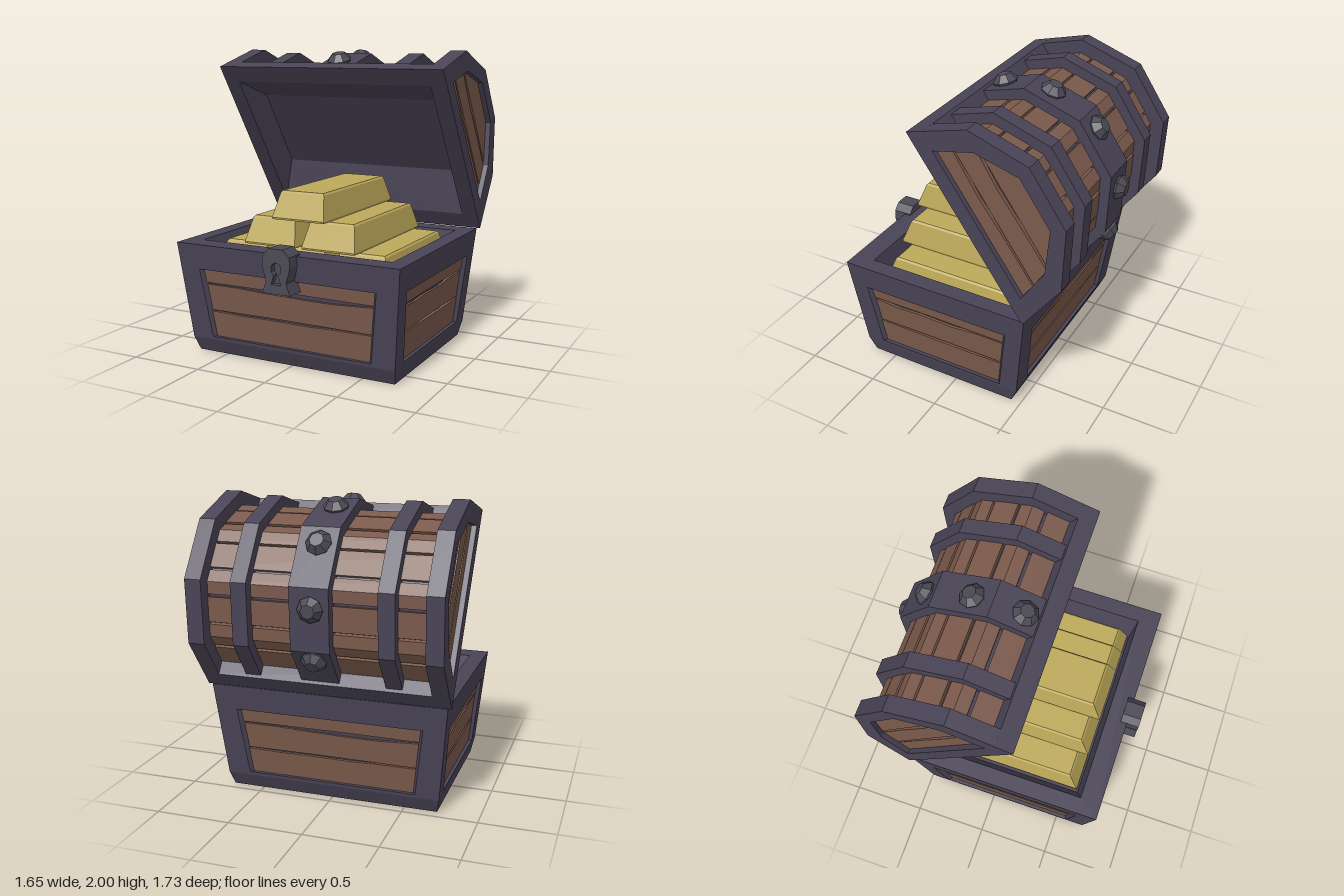
import * as THREE from 'three';

const mat = (color) => new THREE.MeshStandardMaterial({ color, flatShading: true, side: THREE.DoubleSide });
const IRON = mat(0x494456), WOOD = mat(0x7b5a4c), GOLD = mat(0xbda95a), STEEL = mat(0x4b4a55);

function add(parent, name, geometry, material) {
  const mesh = new THREE.Mesh(geometry, material);
  mesh.name = name;
  parent.add(mesh);
  return mesh;
}

// Skin through rectangular rings [x0, x1, z0, z1, y], closed at both ends
function loft(rings) {
  const pos = [];
  const R = rings.map(([x0, x1, z0, z1, y]) => [[x0, y, z1], [x1, y, z1], [x1, y, z0], [x0, y, z0]]);
  const tri = (a, b, c) => pos.push(...a, ...b, ...c);
  for (let r = 0; r + 1 < R.length; r++) for (let i = 0; i < 4; i++) {
    const j = (i + 1) % 4, A = R[r], B = R[r + 1];
    tri(A[i], A[j], B[j]);
    tri(A[i], B[j], B[i]);
  }
  const s = R[0], e = R[R.length - 1];
  tri(s[0], s[3], s[2]); tri(s[0], s[2], s[1]);
  tri(e[0], e[1], e[2]); tri(e[0], e[2], e[3]);
  const g = new THREE.BufferGeometry();
  g.setAttribute('position', new THREE.Float32BufferAttribute(pos, 3));
  g.computeVertexNormals();
  return g;
}

const toV2 = (pts) => pts.map(([x, y]) => new THREE.Vector2(x, y));

// Flat outline with an optional hole, extruded from z0 to z1
function slab(pts, z0, z1, hole) {
  const shape = new THREE.Shape(toV2(pts));
  if (hole) shape.holes.push(new THREE.Path(toV2(hole)));
  return new THREE.ExtrudeGeometry(shape, { depth: z1 - z0, bevelEnabled: false }).translate(0, 0, z0);
}

// ---- chest base: flared walls ----
const CZ = 0.115;
const halfX = (y) => 0.74 + 0.0916 * (y - 0.1);
const halfZ = (y) => 0.59 + 0.122 * (y - 0.1);
const ring = (y, d) => [d - halfX(y), halfX(y) - d, CZ - halfZ(y) + d, CZ + halfZ(y) - d, y];

// Lays a slab, drawn as (share of half width, height), on wall number k
function onWall(g, k) {
  const p = g.attributes.position, [hw, out] = k % 2 ? [halfZ, halfX] : [halfX, halfZ];
  for (let i = 0; i < p.count; i++) {
    const y = p.getY(i), d = p.getZ(i);
    p.setXYZ(i, p.getX(i) * (hw(y) + d), y, out(y) + d);
  }
  g.rotateY(k * Math.PI / 2).translate(0, 0, CZ);
  g.computeVertexNormals();
  return g;
}

function makeBase() {
  const base = new THREE.Group();
  base.name = 'chestBase';
  add(base, 'chestBody', loft([
    [-0.72, 0.72, -0.43, 0.66, 0], ring(0.1, 0), ring(0.1, 0.05), ring(0.75, 0.05), ring(0.75, 0),
    ring(0.757, 0), [-0.69, 0.69, -0.42, 0.64, 0.757], [-0.62, 0.62, -0.4, 0.605, 0.57],
  ]), IRON);
  // Uneven planks sit inside each wall frame
  const rows = [[0.115, 0.297, 0.006], [0.304, 0.482, 0.016], [0.494, 0.6, 0]];
  for (let k = 0; k < 4; k++) {
    const hole = [[-0.785, 0.122], [0.785, 0.122], [0.815, 0.588], [-0.815, 0.588]];
    add(base, 'wallFrame', onWall(slab([[-1, 0.1], [1, 0.1], [1, 0.75], [-1, 0.75]], -0.05, 0, hole), k), IRON);
    rows.forEach(([y0, y1, nick], i) => {
      const s = (k + i) % 2 ? 1 : -1;
      const pts = [[-0.84, y0], [-0.1 * s, y0 + 0.004], [0.84, y0], [0.84, y1], [0.45, y1 - (s > 0 ? nick : 0)],
        [0.2, y1 - nick], [-0.25, y1 - nick * 0.5], [-0.5, y1 - (s < 0 ? nick : 0)], [-0.84, y1]];
      add(base, 'wallPlank', onWall(slab(pts, -0.045, -0.024 - 0.003 * (i % 2)), k), WOOD);
    });
  }
  return base;
}

// ---- lid: drawn as u (hinge to front) and v (away from the opening) ----
const ARCH = [[0, 0], [0.14, 0.403], [0.475, 0.652], [0.892, 0.652], [1.227, 0.403], [1.367, 0]];

// The arch moved inward by d, with both feet kept on the opening plane
function arch(d) {
  const n = ARCH.slice(1).map(([u, v], i) => {
    const du = u - ARCH[i][0], dv = v - ARCH[i][1], l = Math.hypot(du, dv);
    return [dv / l, -du / l];
  });
  return ARCH.map(([u, v], i) => {
    if (i === 0 || i === 5) return [u + d / n[Math.min(i, 4)][0], 0];
    const a = n[i - 1], b = n[i], k = d / (1 + a[0] * b[0] + a[1] * b[1]);
    return [u + k * (a[0] + b[0]), v + k * (a[1] + b[1])];
  });
}

// Point at t on a polyline, one unit of t for each side
function at(line, t) {
  const i = Math.min(Math.floor(t), line.length - 2), f = t - i;
  return [0, 1].map((c) => line[i][c] * (1 - f) + line[i + 1][c] * f);
}

// Piece of the arch between t0 and t1, bending over any corner it crosses
function archStrip(t0, t1, dOut, dIn, x0, x1) {
  const ts = [t0];
  for (let c = Math.ceil(t0 + 1e-6); c < t1; c++) ts.push(c);
  ts.push(t1);
  const outer = arch(dOut), inner = arch(dIn);
  return slab([...ts.map((t) => at(outer, t)), ...ts.reverse().map((t) => at(inner, t))], x0, x1);
}

function makeLid() {
  const lid = new THREE.Group();
  lid.name = 'lid';
  add(lid, 'lidShell', slab([...arch(0.12), [1.1, 0.25], [0.267, 0.25]], -0.72, 0.72), IRON);
  add(lid, 'lidLining', loft([[0.127, 1.24, -0.715, 0.715, 0], [0.385, 1.0, -0.66, 0.66, 0.165]].slice().reverse())
    .translate(0, 0.0, 0), IRON).visible = false;
  lid.remove(lid.children[1]);
  // Shallow tapered recess, open towards the chest
  const lining = loft([[0.127, 1.24, -0.715, 0.715, 0], [0.385, 1.0, -0.66, 0.66, 0.165]]);
  const p = Array.from(lining.attributes.position.array);
  p.splice(8 * 9, 18);
  lining.deleteAttribute('normal');
  lining.setAttribute('position', new THREE.Float32BufferAttribute(p, 3));
  lining.computeVertexNormals();
  add(lid, 'lidLining', lining, IRON);

  // Roof planks
  for (let k = 0; k < 9; k++) {
    const t = 0.25 + k * 0.5;
    add(lid, 'roofPlank', archStrip(t + 0.025, t + 0.475, 0.085 + 0.005 * (k % 2), 0.13, -0.717, 0.717), WOOD);
  }
  // Rails along the hinge and the front edge
  const rail = [[0, 0], [0.038, 0.11], [0.16, 0.11], [0.127, 0]];
  add(lid, 'hingeRail', slab(rail, -0.82, 0.82), IRON);
  add(lid, 'frontRail', slab(rail.map(([u, v]) => [1.367 - u, v]), -0.82, 0.82), IRON);
  // Bands over the roof
  for (const [x0, x1] of [[-0.525, -0.42], [-0.14, 0.115], [0.42, 0.525]])
    add(lid, 'roofBand', archStrip(0.1, 4.9, 0.02, 0.13, x0, x1), IRON);

  // End frames with planked panels
  const M = 0.6835;
  const panel = [[0.1, 0.517], [0.36, 0.41], [0.555, 0.175]];
  const outline = [...panel.map(([v, w]) => [M - w, v]), ...panel.map(([v, w]) => [M + w, v]).reverse()];
  const width = (v) => {
    const [a, b] = v <= 0.36 ? [panel[0], panel[1]] : [panel[1], panel[2]];
    return a[1] + (b[1] - a[1]) * (v - a[0]) / (b[0] - a[0]);
  };
  for (const s of [-1, 1]) {
    const end = (pts, a, b, hole) => slab(pts, Math.min(s * a, s * b), Math.max(s * a, s * b), hole);
    add(lid, 'endFrame', end(ARCH, 0.715, 0.825, outline), IRON);
    add(lid, 'endBacking', end(outline, 0.715, 0.765), IRON);
    for (const [v0, v1, nick] of [[0.1, 0.205, 0.014], [0.217, 0.36, 0.014], [0.376, 0.555, 0]]) {
      const a = width(v0), b = width(v1);
      add(lid, 'endPlank', end([[M - a, v0], [M + a, v0], [M + b, v1], [M + 0.15, v1 - nick],
        [M - 0.1, v1 - nick * 0.3], [M - b, v1]], 0.76, 0.79), WOOD);
    }
  }
  // Faceted studs on the middle band
  const band = arch(0.02);
  [0.82, 1.67, 2.72, 3.65, 4.5].forEach((t, i) => {
    const [u, v] = at(band, t), a = band[i], b = band[i + 1];
    const stud = add(lid, 'stud', new THREE.CylinderGeometry(0.045, 0.085, 0.045, 8), STEEL);
    const foot = add(stud, 'studFoot', new THREE.CylinderGeometry(0.085, 0.07, 0.03, 8), STEEL);
    foot.position.y = -0.0375;
    const tilt = Math.atan2(b[1] - a[1], b[0] - a[0]);
    stud.rotation.z = tilt;
    stud.position.set(u - Math.sin(tilt) * 0.037, v + Math.cos(tilt) * 0.037, 0);
  });

  // Swing the lid open about the hinge
  const c = 0.825, s = Math.sqrt(1 - c * c);
  lid.quaternion.setFromRotationMatrix(new THREE.Matrix4().makeBasis(
    new THREE.Vector3(0, c, s), new THREE.Vector3(0, s, -c), new THREE.Vector3(-1, 0, 0)));
  lid.position.set(0, 0.76, -0.557);
  return lid;
}

// ---- stacked gold bars ----
function makeGold() {
  const gold = new THREE.Group();
  gold.name = 'goldBars';
  const bar = loft([[-0.185, 0.185, -0.505, 0.505, 0], [-0.188, 0.188, -0.508, 0.508, 0.012],
    [-0.157, 0.157, -0.447, 0.447, 0.168], [-0.146, 0.146, -0.436, 0.436, 0.18]]);
  for (let row = 0; row < 3; row++) for (let i = 0; i < 3 - row; i++)
    add(gold, 'goldBar', bar, GOLD).position.set(0.01 + (i - (2 - row) / 2) * 0.425, 0.575 + row * 0.18, 0.085 + row * 0.004);
  return gold;
}

// ---- lock plate with keyhole ----
function makeLock() {
  const lock = new THREE.Group();
  lock.name = 'lock';
  const mirror = (half) => [...half, ...half.map(([x, y]) => [-x, y]).reverse()];
  const body = mirror([[0.1, 0.525], [0.072, 0.6], [0.1, 0.7], [0.095, 0.765], [0.05, 0.81]]);
  const key = mirror([[0.034, 0.585], [0.016, 0.645], [0.034, 0.665], [0.034, 0.7], [0.015, 0.722]]);
  add(lock, 'lockFace', slab(body, 0.83, 0.87, key), STEEL);
  add(lock, 'lockBack', slab(body, 0.74, 0.83), STEEL);
  lock.position.x = 0.01;
  return lock;
}

export function createModel() {
  const chest = new THREE.Group();
  chest.name = 'treasureChest';
  chest.add(makeBase(), makeLid(), makeGold(), makeLock());
  return chest;
}
